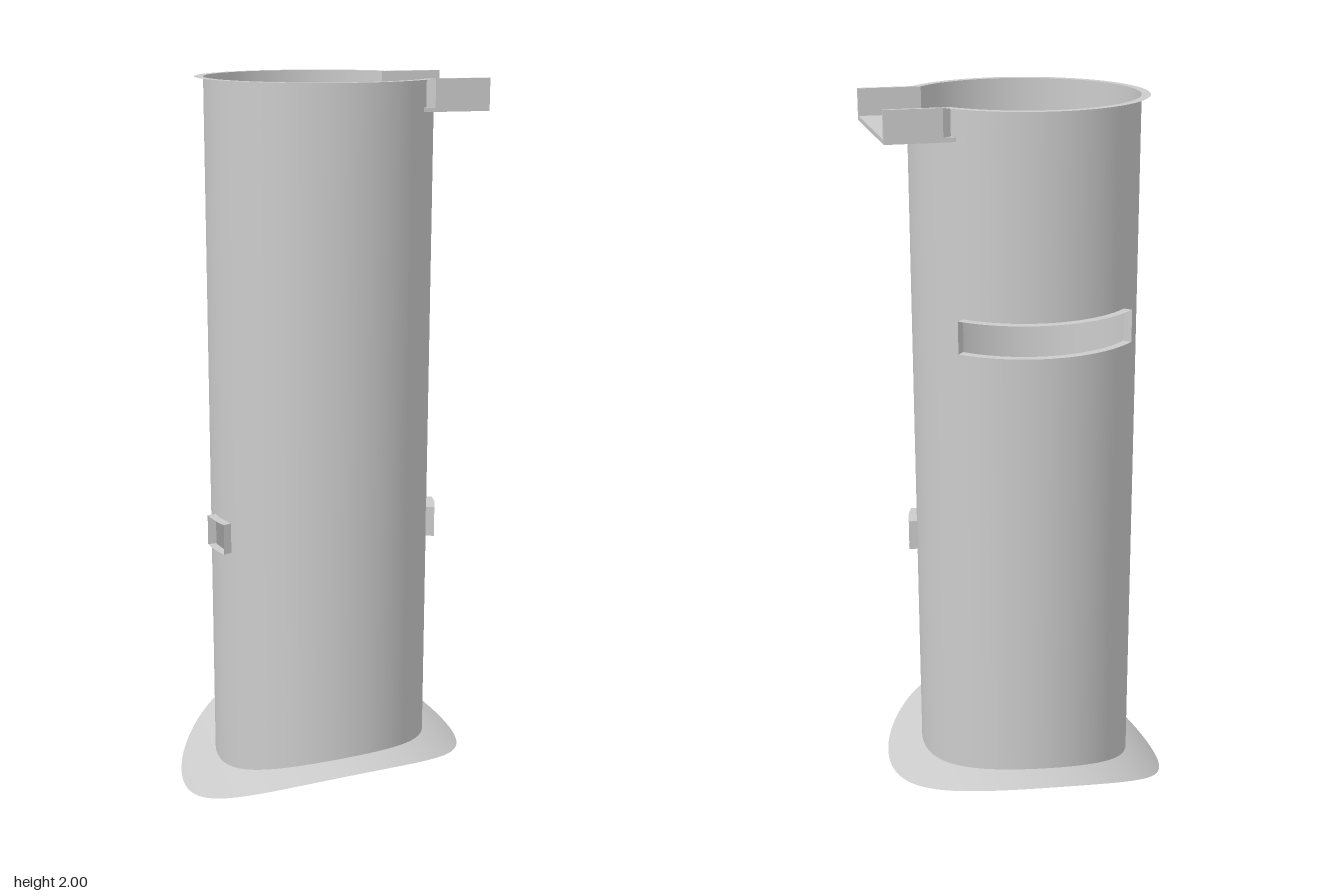
import * as THREE from 'three';
import { ParametricGeometry } from 'three/addons/geometries/ParametricGeometry.js';

const R = 0.304;        // tube radius
const RIM = 0.328;      // radius of the rim and opening frames
const FLANGE = 0.406;   // radius of the saddle flange
const TOP = 2;
const rad = THREE.MathUtils.degToRad;

const material = new THREE.MeshStandardMaterial({ color: 0xcccccc, side: THREE.DoubleSide });

// Angles in degrees, from +x towards +z
const TRAY_ANGLE = 39.4;
const TRAY_FLOOR = 1.928;
const windows = [
  { name: 'leftWindowFrame', a0: 5.6, a1: 23.2, y0: 0.735, y1: 0.82 },
  { name: 'rightWindowFrame', a0: 156.8, a1: 174.4, y0: 0.735, y1: 0.82 },
  { name: 'rearSlotFrame', a0: 225, a1: 315, y0: 1.38, y1: 1.467 },
];
const notch = { a0: -TRAY_ANGLE, a1: TRAY_ANGLE, y0: TRAY_FLOOR, y1: TOP };

// Underside of the tube: a cylinder saddle running along z
const saddle = (x) => 0.174 - 0.69 + Math.sqrt(0.69 ** 2 - (x - 0.052) ** 2);

// Thin sheet between two angles; radius and height are given as functions
function sheet(a0, a1, radius, height, across = 1) {
  const steps = Math.max(2, Math.ceil((a1 - a0) / 3));
  return new ParametricGeometry((u, v, p) => {
    const a = rad(a1 + (a0 - a1) * u);
    const r = radius(v);
    const x = r * Math.cos(a);
    p.set(x, height(v, x), r * Math.sin(a));
  }, steps, across);
}

function add(parent, name, geometry) {
  const mesh = new THREE.Mesh(geometry, material);
  mesh.name = name;
  parent.add(mesh);
  return mesh;
}

// Tube wall: vertical strips, interrupted wherever an opening crosses them
function addTube(parent) {
  const tube = new THREE.Group();
  tube.name = 'tube';
  parent.add(tube);
  const openings = [...windows, notch];
  const breaks = [...new Set([...openings.flatMap((o) => [o.a0, o.a1]), 360 - TRAY_ANGLE])]
    .sort((a, b) => a - b);
  for (let i = 0; i < breaks.length - 1; i++) {
    const [a0, a1] = [breaks[i], breaks[i + 1]];
    const mid = (a0 + a1) / 2;
    const crossing = openings.filter((o) => mid > o.a0 && mid < o.a1).sort((a, b) => a.y0 - b.y0);
    let bottom = saddle;
    for (const o of [...crossing, { y0: TOP, y1: TOP }]) {
      const low = bottom;
      if (low(0) < o.y0) {
        add(tube, 'tubeWall', sheet(a0, a1, () => R, (v, x) => low(x) + (o.y0 - low(x)) * v));
      }
      bottom = () => o.y1;
    }
  }
}

// Thin frame standing out around an opening
function addFrame(parent, { name, a0, a1, y0, y1 }) {
  const frame = new THREE.Group();
  frame.name = name;
  parent.add(frame);
  for (const y of [y0, y1]) {
    add(frame, 'frameLedge', sheet(a0, a1, (v) => RIM + (R - RIM) * v, () => y));
  }
  for (const a of [a0, a1]) {
    const end = new THREE.PlaneGeometry(RIM - R, y1 - y0);
    end.translate((R + RIM) / 2, (y0 + y1) / 2, 0);
    end.rotateY(-rad(a));
    add(frame, 'frameEnd', end);
  }
}

// Plan shape (x, z) raised to a slab
function slab(shape, y, height) {
  const g = new THREE.ExtrudeGeometry(shape, { depth: height, bevelEnabled: false, curveSegments: 32 });
  g.rotateX(-Math.PI / 2);
  g.translate(0, y, 0);
  return g;
}

// Open spout tray on the left side of the top
function addTray(parent) {
  const tray = new THREE.Group();
  tray.name = 'spoutTray';
  parent.add(tray);
  const end = 0.404, outer = 0.205, inner = 0.193, base = 1.916;
  const a = Math.asin(outer / R);
  const floor = new THREE.Shape();
  floor.moveTo(end, outer);
  floor.lineTo(R * Math.cos(a), outer);
  floor.absarc(0, 0, R, a, -a, true);
  floor.lineTo(end, -outer);
  add(tray, 'trayFloor', slab(floor, base, TRAY_FLOOR - base));
  for (const s of [1, -1]) {
    const wall = new THREE.Shape([
      new THREE.Vector2(Math.sqrt(R * R - inner * inner), s * inner),
      new THREE.Vector2(end, s * inner),
      new THREE.Vector2(end, s * outer),
      new THREE.Vector2(Math.sqrt(RIM * RIM - outer * outer), s * outer),
    ]);
    add(tray, 'trayWall', slab(wall, TRAY_FLOOR, TOP - TRAY_FLOOR));
  }
}

export function createModel() {
  const model = new THREE.Group();
  model.name = 'saddleTube';
  addTube(model);
  windows.forEach((w) => addFrame(model, w));
  addTray(model);
  // Flat rim around the top, open at the tray
  add(model, 'topRim', sheet(TRAY_ANGLE, 360 - TRAY_ANGLE, (v) => RIM + (R - RIM) * v, () => TOP));
  // Curved flange around the foot
  add(model, 'saddleFlange', sheet(0, 360, (v) => FLANGE + (R - FLANGE) * v, (v, x) => saddle(x), 6));
  return model;
}
